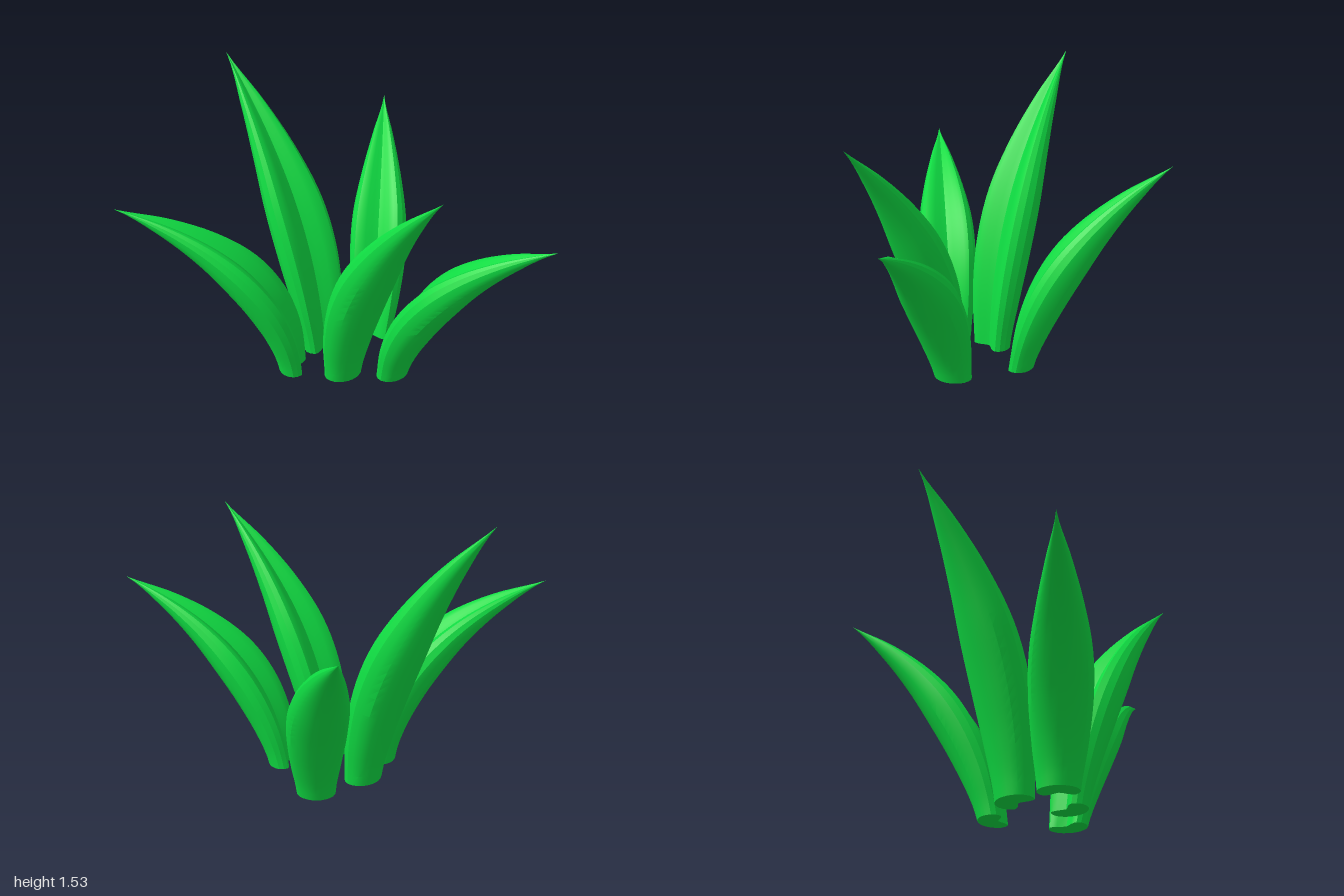
import * as THREE from 'three';
import { toCreasedNormals } from 'three/addons/utils/BufferGeometryUtils.js';

const SIDES = 24, STEPS = 28;

// Kidney-shaped cross-section: rounded outside, channel along the inside
const half = [[0.4, -0.52], [0.75, -0.6], [1, -0.2], [0.85, 0.3], [0.45, 0.6]];
const outline = [[0, -0.3], ...half, [0, 0.7], ...half.map(([u, v]) => [-u, v]).reverse()];
const section = new THREE.CatmullRomCurve3(
  outline.map(([u, v]) => new THREE.Vector3(u, v, 0)), true).getPoints(SIDES).slice(0, SIDES);

// Relative width from base to tip
const widths = new THREE.SplineCurve(
  [0.66, 0.86, 0.99, 0.96, 0.72, 0.38, 0].map((w, i) => new THREE.Vector2(i / 6, w)));

// Sweeps the section along an arc through base, middle and tip
function leafGeometry({ base, mid, tip, facing, width }) {
  const p0 = new THREE.Vector3(...base), p2 = new THREE.Vector3(...tip);
  const p1 = new THREE.Vector3(...mid).multiplyScalar(2).addScaledVector(p0, -0.5).addScaledVector(p2, -0.5);
  const path = new THREE.QuadraticBezierCurve3(p0, p1, p2);
  const out = new THREE.Vector3(facing[0], 0, facing[1]).normalize();
  const across = out.clone().cross(new THREE.Vector3(0, 1, 0));
  const positions = [], index = [];

  for (let i = 0; i <= STEPS; i++) {
    const t = i / STEPS;
    const c = path.getPoint(t);
    const s = Math.max(widths.getPoint(t).y, 0.001) * width;
    // level at the ground, then square to the path
    const v = path.getTangent(t).cross(across).normalize();
    v.lerpVectors(out, v.clone(), Math.min(1, t * 4)).normalize();
    for (const q of section) {
      const p = c.clone().addScaledVector(across, q.x * s).addScaledVector(v, q.y * s);
      positions.push(p.x, Math.max(0, p.y), p.z);
    }
  }
  for (let i = 0; i < STEPS; i++) {
    for (let j = 0; j < SIDES; j++) {
      const k = (j + 1) % SIDES;
      const a = i * SIDES + j, b = i * SIDES + k;
      index.push(a, b, b + SIDES, a, b + SIDES, a + SIDES);
    }
  }
  // flat cut at the base
  const centre = positions.length / 3;
  positions.push(...base);
  for (let j = 0; j < SIDES; j++) index.push(centre, (j + 1) % SIDES, j);

  const geometry = new THREE.BufferGeometry();
  geometry.setAttribute('position', new THREE.Float32BufferAttribute(positions, 3));
  geometry.setIndex(index);
  return toCreasedNormals(geometry, 0.35);
}

const leaves = [
  { name: 'backLeaf', base: [-0.06, 0, -0.32], mid: [-0.04, 0.8, -0.52], tip: [0.01, 1.53, -0.98], facing: [0.3, -0.95], width: 0.17 },
  { name: 'backRightLeaf', base: [-0.32, 0, -0.31], mid: [-0.48, 0.58, -0.5], tip: [-0.84, 0.96, -1], facing: [-0.53, -0.85], width: 0.155 },
  { name: 'leftLeaf', base: [0.2, 0, -0.16], mid: [0.42, 0.6, -0.28], tip: [0.84, 1.1, -0.57], facing: [0.9, -0.43], width: 0.155 },
  { name: 'frontRightLeaf', base: [-0.2, 0, -0.05], mid: [-0.25, 0.7, 0.17], tip: [-0.33, 1.31, 0.64], facing: [-0.25, 0.97], width: 0.16 },
  { name: 'frontLeaf', base: [-0.035, 0, 0.155], mid: [-0.01, 0.57, 0.44], tip: [0.11, 0.975, 1], facing: [0.1, 1], width: 0.155 },
];

export function createModel() {
  const group = new THREE.Group();
  group.name = 'leafTuft';
  const green = new THREE.MeshStandardMaterial({ color: 0x0fdc42 });
  for (const leaf of leaves) {
    const mesh = new THREE.Mesh(leafGeometry(leaf), green);
    mesh.name = leaf.name;
    group.add(mesh);
  }
  return group;
}
